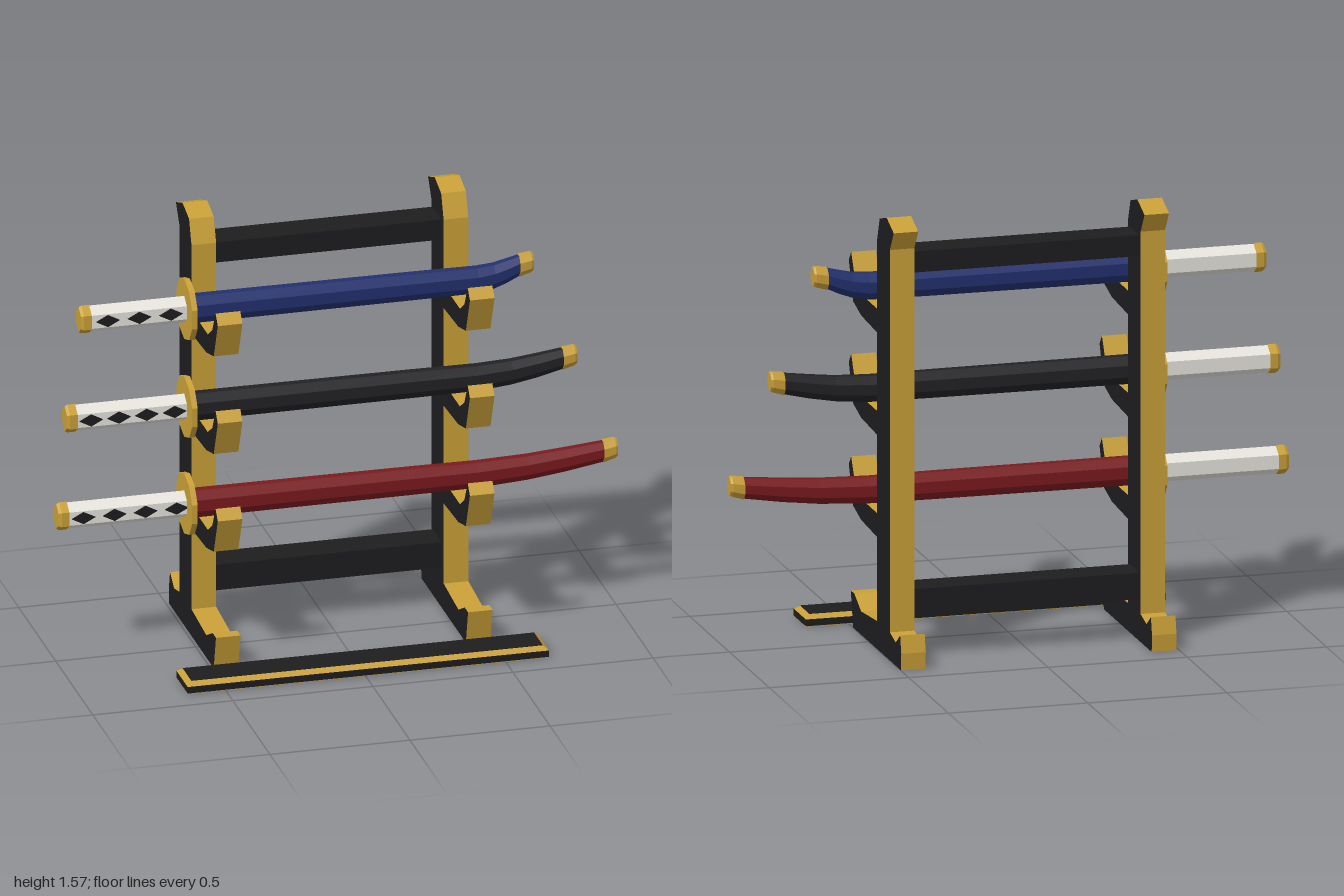
import * as THREE from 'three';

const mat = (color) => new THREE.MeshStandardMaterial({ color, flatShading: true });
const gold = mat(0xc9a038), black = mat(0x1d1d1f), white = mat(0xe6e4dc);
const CX = 0.005, CZ = 0.006;

function add(parent, name, geometry, material, x = 0, y = 0, z = 0) {
  const mesh = new THREE.Mesh(geometry, material);
  mesh.name = name;
  mesh.position.set(x, y, z);
  parent.add(mesh);
  return mesh;
}

// Closed body along x; each section is [x, centre y, half height, half depth]
function loft(sections, sides, phase = 0) {
  const pos = [], idx = [], n = sections.length;
  for (const [x, y, ry, rz] of sections) {
    for (let j = 0; j < sides; j++) {
      const a = phase + (j / sides) * Math.PI * 2;
      pos.push(x, y + ry * Math.cos(a), rz * Math.sin(a));
    }
  }
  for (let i = 0; i < n - 1; i++) {
    for (let j = 0; j < sides; j++) {
      const k = (j + 1) % sides, a = i * sides, b = a + sides;
      idx.push(a + j, a + k, b + j, b + j, a + k, b + k);
    }
  }
  const end = (n - 1) * sides;
  for (let j = 1; j < sides - 1; j++) {
    idx.push(0, j + 1, j, end, end + j, end + j + 1);
  }
  const indexed = new THREE.BufferGeometry();
  indexed.setAttribute('position', new THREE.Float32BufferAttribute(pos, 3));
  indexed.setIndex(idx);
  const g = indexed.toNonIndexed();
  g.computeVertexNormals();
  return g;
}

// Upright with foot, three hooks and a crested top, in (z, y)
function uprightGeometry() {
  const hook = [[-0.1, 1.13], [0.1, 1.14], [0.2, 1.165], [0.255, 1.3],
    [0.225, 1.335], [0.18, 1.255], [0.12, 1.215], [-0.1, 1.215]];
  const points = [[-0.4, 0], [0.2, 0], [0.23, 0.125], [0.185, 0.125], [0.1, 0.083], [-0.1, 0.1]];
  for (const drop of [0.73, 0.365, 0]) {
    for (const [z, y] of hook) points.push([z, y - drop]);
  }
  points.push([-0.1, 1.46], [-0.133, 1.545], [-0.22, 1.57], [-0.31, 1.537], [-0.26, 1.465],
    [-0.26, 0.1], [-0.335, 0.083], [-0.39, 0.122], [-0.404, 0.06]);
  const shape = new THREE.Shape(points.map(([z, y]) => new THREE.Vector2(z, y)));
  const g = new THREE.ExtrudeGeometry(shape, { depth: 0.088, bevelEnabled: false });
  g.translate(0, 0, -0.044);
  g.rotateY(-Math.PI / 2);
  return g;
}

function buildStand() {
  const stand = new THREE.Group();
  stand.name = 'stand';
  const upright = uprightGeometry();
  add(stand, 'rightUpright', upright, [black, gold], CX - 0.45);
  add(stand, 'leftUpright', upright, [black, gold], CX + 0.45);
  add(stand, 'topRail', new THREE.BoxGeometry(0.82, 0.075, 0.12), black, CX, 1.412, -0.187);
  add(stand, 'bottomRail', new THREE.BoxGeometry(0.82, 0.095, 0.12), black, CX, 0.197, -0.187);
  return stand;
}

// Low plate with a sloped gold rim and dark inlays above and below
function buildPlate() {
  const plate = new THREE.Group();
  plate.name = 'plate';
  plate.position.set(CX + 0.004, 0, 0.328);
  const w = 1.29, d = 0.153;
  add(plate, 'plateBase', new THREE.BoxGeometry(w, 0.025, d), black, 0, 0.0145);
  const rim = new THREE.BoxGeometry(w, 0.014, d);
  const p = rim.attributes.position;
  for (let i = 0; i < p.count; i++) {
    if (p.getY(i) > 0) {
      p.setX(i, p.getX(i) - Math.sign(p.getX(i)) * 0.018);
      p.setZ(i, p.getZ(i) - Math.sign(p.getZ(i)) * 0.018);
    }
  }
  rim.computeVertexNormals();
  add(plate, 'plateRim', rim, gold, 0, 0.034);
  add(plate, 'topInlay', new THREE.BoxGeometry(w - 0.036, 0.002, d - 0.036), black, 0, 0.041);
  add(plate, 'bottomRim', new THREE.BoxGeometry(w, 0.002, d), gold, 0, 0.002);
  add(plate, 'bottomInlay', new THREE.BoxGeometry(w - 0.036, 0.002, d - 0.036), black, 0, 0.001);
  return plate;
}

function buildSword({ name, y, color, start, end, rise, diamonds }) {
  const sword = new THREE.Group();
  sword.name = name;
  sword.position.set(0, y, CZ);

  // Scabbard: straight, then sweeping up to a gold tip
  const tip = end - 0.05, bend = 0.5, oct = Math.PI / 8;
  const at = (t, h, r) => [bend + (tip - bend) * t, rise * h, h < 0 ? 0.05 : r, r * 0.75];
  const body = [[-0.53, 0, 0.054, 0.039], [0.27, 0, 0.052, 0.037],
    at(0, 0, 0.05), at(0.4, 0.17, 0.047), at(0.7, 0.45, 0.044), at(1, 0.8, 0.039)];
  add(sword, 'scabbard', loft(body, 8, oct), mat(color));
  add(sword, 'scabbardTip', loft([[tip, rise * 0.8, 0.042, 0.032],
    [end - 0.008, rise * 0.98, 0.038, 0.03], [end, rise, 0.034, 0.026]], 8, oct), gold);

  // Ten-sided guard
  const guard = new THREE.CylinderGeometry(0.112, 0.112, 0.02, 10);
  guard.rotateZ(Math.PI / 2);
  guard.rotateX(Math.PI / 10);
  add(sword, 'guard', guard, gold, -0.533);

  // Six-sided grip with pommel
  add(sword, 'grip', loft([[start + 0.03, 0, 0.049, 0.041], [-0.54, 0, 0.049, 0.041]], 6), white);
  add(sword, 'pommel', loft([[start, 0, 0.046, 0.038], [start + 0.01, 0, 0.052, 0.044],
    [start + 0.037, 0, 0.052, 0.044]], 6), gold);

  // Diamonds along the front of the grip
  const diamond = new THREE.CylinderGeometry(1, 1, 0.008, 4);
  diamond.rotateX(Math.PI / 2);
  diamond.scale(0.042, 0.022, 1);
  const [first, last, count] = diamonds;
  for (let i = 0; i < count; i++) {
    add(sword, 'gripDiamond', diamond, black, first + (last - first) * i / (count - 1), 0, 0.036);
  }
  return sword;
}

export function createModel() {
  const model = new THREE.Group();
  model.name = 'swordRack';
  model.add(buildStand(), buildPlate());
  const swords = [
    { name: 'shortSword', y: 1.27, color: 0x22306e, start: -0.92, end: 0.7, rise: 0.047, diamonds: [-0.825, -0.6, 3] },
    { name: 'middleSword', y: 0.905, color: 0x222225, start: -0.97, end: 0.855, rise: 0.048, diamonds: [-0.885, -0.587, 4] },
    { name: 'longSword', y: 0.543, color: 0x7a1a1e, start: -1, end: 1, rise: 0.048, diamonds: [-0.912, -0.58, 4] },
  ];
  for (const s of swords) model.add(buildSword(s));
  return model;
}
